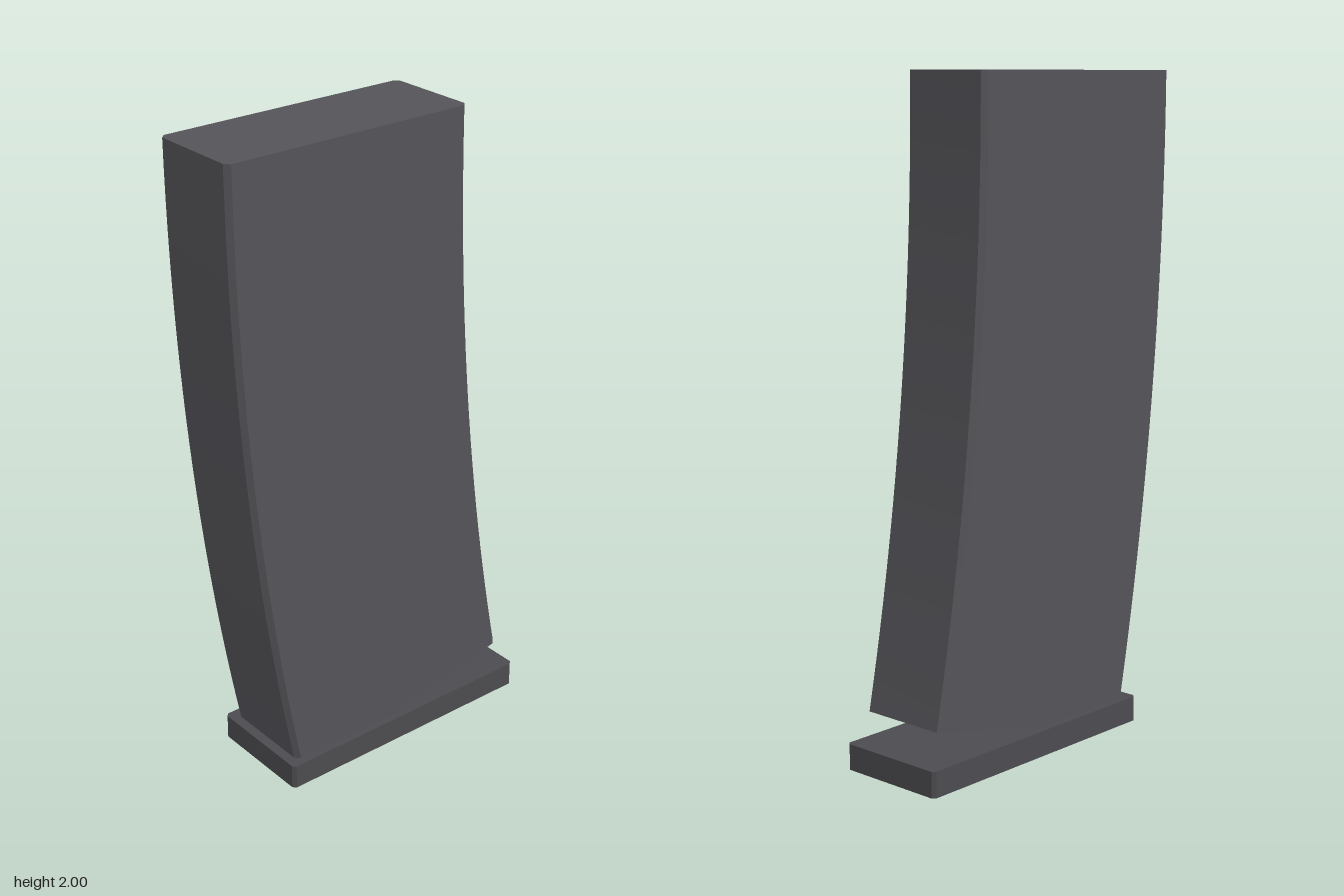
import * as THREE from 'three';
import { toCreasedNormals } from 'three/addons/utils/BufferGeometryUtils.js';

// Upright prism with a chamfered rectangular plan, from y = 0 to height
function chamferedPrism(x0, x1, halfZ, chamfer, height, steps) {
  const c = chamfer;
  const shape = new THREE.Shape([
    [x0 + c, -halfZ], [x1 - c, -halfZ], [x1, -halfZ + c], [x1, halfZ - c],
    [x1 - c, halfZ], [x0 + c, halfZ], [x0, halfZ - c], [x0, -halfZ + c],
  ].map(([x, y]) => new THREE.Vector2(x, y)));
  const geometry = new THREE.ExtrudeGeometry(shape, { depth: height, steps, bevelEnabled: false });
  return geometry.rotateX(-Math.PI / 2);
}

// Bend a unit-high prism along an arc that starts vertical at the top
function bendDown(geometry, top, centreX, angle) {
  const p = geometry.attributes.position;
  for (let i = 0; i < p.count; i++) {
    const a = angle * (1 - p.getY(i));
    const r = centreX - p.getX(i);
    p.setXY(i, centreX - r * Math.cos(a), top - r * Math.sin(a));
  }
  return toCreasedNormals(geometry, 0.3);
}

export function createModel() {
  const bodyMaterial = new THREE.MeshStandardMaterial({ color: 0x545358 });
  bodyMaterial.name = 'dark grey';
  const baseMaterial = new THREE.MeshStandardMaterial({ color: 0x4c4c50 });
  baseMaterial.name = 'darker grey';

  const model = new THREE.Group();
  model.name = 'curvedMagazine';

  // Curved box body, its tilted lower end sunk into the base plate
  const bodyGeometry = bendDown(chamferedPrism(-0.53, 0.285, 0.151, 0.015, 1, 24), 2, 9.23, 0.206);
  const body = new THREE.Mesh(bodyGeometry, bodyMaterial);
  body.name = 'body';

  // Flat base plate
  const basePlate = new THREE.Mesh(chamferedPrism(-0.37, 0.527, 0.176, 0.01, 0.078, 1), baseMaterial);
  basePlate.name = 'basePlate';

  model.add(body, basePlate);
  return model;
}
